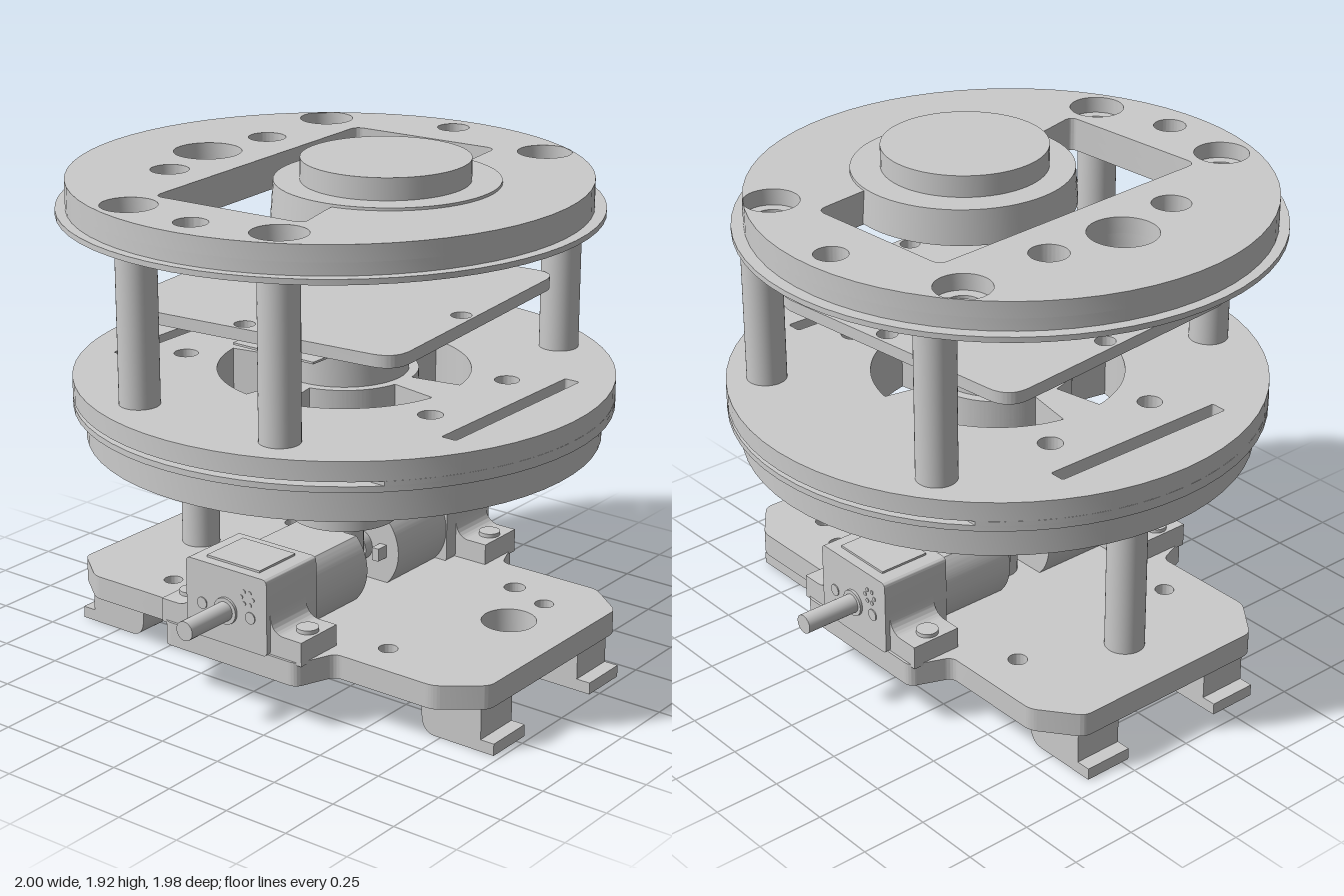
import * as THREE from 'three';
import { toCreasedNormals } from 'three/addons/utils/BufferGeometryUtils.js';

const grey = new THREE.MeshStandardMaterial({ color: 0xcccccc });
const thin = new THREE.MeshStandardMaterial({ color: 0xcccccc, side: THREE.DoubleSide });
const CX = 0.02, CZ = -0.01; // shared axis of the decks, column and motors

// Outline helpers
const circle = (x, y, r, C = THREE.Path) => new C().absarc(x, y, r, 0, Math.PI * 2);
function roundedPoly(pts, r, C = THREE.Path) {
  const p = new C(), v = pts.map(([x, y]) => new THREE.Vector2(x, y)), n = v.length;
  v.forEach((c, i) => {
    const a = v[(i + n - 1) % n], b = v[(i + 1) % n];
    const s = c.clone().add(a.clone().sub(c).setLength(r));
    const e = c.clone().add(b.clone().sub(c).setLength(r));
    i ? p.lineTo(s.x, s.y) : p.moveTo(s.x, s.y);
    p.quadraticCurveTo(c.x, c.y, e.x, e.y);
  });
  p.closePath();
  return p;
}
function arcSlot(x, y, r0, r1, a, half) {
  const p = new THREE.Path();
  p.absarc(x, y, r1, a - half, a + half, false);
  p.absarc(x, y, r0, a + half, a - half, true);
  p.closePath();
  return p;
}

function createModel() {
  const model = new THREE.Group();
  function add(name, geo, parent = model, mat = grey) {
    const m = new THREE.Mesh(geo, mat);
    m.name = name;
    parent.add(m);
    return m;
  }
  const extrude = (shape, depth) => toCreasedNormals(
    new THREE.ExtrudeGeometry(shape, { depth, bevelEnabled: false, curveSegments: 32 }), 0.5);
  // Horizontal slab: the outline is in x and z
  function slab(name, shape, y0, y1, holes = [], parent = model) {
    shape.holes = holes;
    return add(name, extrude(shape, y1 - y0).rotateX(Math.PI / 2).translate(0, y1, 0), parent);
  }
  function post(name, x, z, r, y0, y1, parent = model) {
    return add(name, new THREE.CylinderGeometry(r, r, y1 - y0, 40).translate(x, (y0 + y1) / 2, z), parent);
  }
  function rod(name, x, y, r, z0, z1, parent) {
    return add(name, new THREE.CylinderGeometry(r, r, z1 - z0, 32).rotateX(Math.PI / 2)
      .translate(x, y, (z0 + z1) / 2), parent);
  }
  const disc = (x, z, r) => circle(x, z, r, THREE.Shape);

  // Top deck with window, counterbored screw holes and cable holes
  const topDeck = new THREE.Group();
  topDeck.name = 'topDeck';
  model.add(topDeck);
  const bores = [[-0.55, -0.64], [0.41, -0.7], [-0.29, 0.78], [0.33, 0.74]];
  const topHoles = (boreR) => [
    ...bores.map(([x, z]) => circle(x, z, boreR)),
    ...[[-0.075, -0.81, 0.06], [-0.535, -0.26, 0.07], [-0.57, 0.04, 0.125], [-0.5, 0.33, 0.07], [0.02, 0.82, 0.06]]
      .map(([x, z, r]) => circle(x, z, r)),
    roundedPoly([[-0.37, -0.59], [0.24, -0.63], [0.27, -0.4], [0.27, 0.4], [0.32, 0.6], [-0.3, 0.64]], 0.04),
  ];
  slab('topDeckFlange', disc(-0.025, 0.01, 0.975), 1.705, 1.725, topHoles(0.06), topDeck);
  slab('topDeckLower', disc(-0.025, 0.015, 0.935), 1.725, 1.77, topHoles(0.06), topDeck);
  slab('topDeckUpper', disc(-0.025, 0.015, 0.935), 1.77, 1.83, topHoles(0.1), topDeck);

  // Scanner sitting in the window
  add('scannerBase', new THREE.CylinderGeometry(0.4, 0.41, 0.13, 64).translate(0.21, 1.775, -0.01));
  add('scannerHead', new THREE.CylinderGeometry(0.3, 0.3, 0.09, 64).translate(0.21, 1.875, 0));

  // Posts between the decks, and the single post above the base
  [[-0.465, -0.69], [0.5, -0.69], [-0.295, 0.745], [0.33, 0.745]].forEach(([x, z]) =>
    post('upperPost', x, z, 0.073, 1.1, 1.71));
  post('lowerPost', -0.67, 0, 0.073, 0.25, 0.89);

  // Floating board, slightly turned
  const h = 0.58;
  const board = slab('board', roundedPoly([[-h, -h], [h, -h], [h, h], [-h, h]], 0.1, THREE.Shape), 1.365, 1.41,
    [[0.05, -0.53], [0.53, 0.05], [-0.05, 0.53], [-0.53, -0.05]].map(([x, z]) => circle(x, z, 0.037)));
  board.position.set(0.015, 0, 0.015);
  board.rotation.y = 0.1;

  // Middle deck: layered disc with an edge gap at front and back
  const midDeck = new THREE.Group();
  midDeck.name = 'middleDeck';
  model.add(midDeck);
  const midHoles = () => {
    const list = [];
    for (let i = 0; i < 4; i++) {
      list.push(arcSlot(CX, CZ, 0.27, 0.46, Math.PI / 4 + i * Math.PI / 2, 0.6));
      const a = (i < 2 ? 0 : Math.PI) + (i % 2 ? 0.4 : -0.4);
      list.push(circle(CX + 0.6 * Math.cos(a), CZ + 0.6 * Math.sin(a), 0.045));
    }
    return list;
  };
  const sideSlots = () => [-1, 1].map((s) => roundedPoly(
    [[-0.03, -0.38], [0.03, -0.38], [0.03, 0.38], [-0.03, 0.38]].map(([x, z]) => [CX + s * 0.74 + x, z]), 0.01));
  const cut = Math.asin(0.69 / 0.98);
  const gapLayer = new THREE.Shape();
  gapLayer.absarc(CX, CZ, 0.98, -cut, cut, false);
  gapLayer.absarc(CX, CZ, 0.98, Math.PI - cut, Math.PI + cut, false);
  gapLayer.closePath();
  slab('middleDeckBody', disc(CX, CZ, 0.935), 0.88, 1.0, midHoles(), midDeck);
  slab('middleDeckFlange', disc(CX, CZ, 0.98), 1.0, 1.022, midHoles(), midDeck);
  slab('middleDeckGap', gapLayer, 1.022, 1.038, [...midHoles(), ...sideSlots()], midDeck);
  slab('middleDeckTop', disc(CX, CZ, 0.98), 1.038, 1.11, [...midHoles(), ...sideSlots()], midDeck);

  // Hub above the middle deck with its thin plate
  slab('hub', disc(CX, CZ, 0.235), 1.1, 1.27, [circle(CX, CZ, 0.19)]);
  add('hubPlate', new THREE.BoxGeometry(0.36, 0.008, 0.6).translate(CX, 1.266, 0.1));

  // Column: tube walls with round cross holes
  function tubeWall(r) {
    const pos = [], idx = [], n = 240, yc = 0.71;
    for (let i = 0; i <= n; i++) {
      const a = (i / n) * Math.PI * 2, x = r * Math.cos(a), z = r * Math.sin(a);
      const gap = Math.sqrt(Math.max(0, 0.042 ** 2 - (Math.abs(z) - 0.14) ** 2));
      for (const y of [0.545, yc - gap, yc + gap, 0.89]) pos.push(CX + x, y, CZ + z);
      if (i < n) for (const k of [0, 2]) {
        const b = i * 4 + k;
        idx.push(b, b + 1, b + 4, b + 1, b + 5, b + 4);
      }
    }
    const g = new THREE.BufferGeometry();
    g.setAttribute('position', new THREE.Float32BufferAttribute(pos, 3));
    g.setIndex(idx);
    g.computeVertexNormals();
    return g;
  }
  add('columnOuterWall', tubeWall(0.203), model, thin);
  add('columnInnerWall', tubeWall(0.165), model, thin);
  add('columnRim', new THREE.RingGeometry(0.165, 0.203, 64).rotateX(Math.PI / 2).translate(CX, 0.545, CZ), model, thin);
  // Fillets joining the column to the deck
  for (const s of [-1, 1]) {
    const f = new THREE.Shape();
    f.moveTo(0.19, 0.89);
    f.lineTo(0.245, 0.885);
    f.quadraticCurveTo(0.203, 0.87, 0.2, 0.81);
    f.lineTo(0.18, 0.81);
    const m = add('columnFillet', extrude(f, 0.14).translate(0, 0, -0.07));
    m.position.set(CX, 0, CZ);
    m.rotation.y = s * Math.PI / 2;
  }
  post('columnStem', CX, CZ, 0.073, 0.25, 0.88);

  // Base plate
  const outline = [[0.935, 0.4], [0.78, 0.52], [0.36, 0.52], [0.3, 0.67],
    [-0.3, 0.67], [-0.36, 0.52], [-0.78, 0.52], [-0.935, 0.4]];
  const ring = [...outline, ...outline.slice().reverse().map(([x, z]) => [x, -z])].map(([x, z]) => [x + CX, z + CZ]);
  slab('basePlate', roundedPoly(ring, 0.03, THREE.Shape), 0.17, 0.26,
    [[0.7, -0.1, 0.1], [0.55, -0.36, 0.04], [0.72, -0.3, 0.035], [0.5, 0.36, 0.035], [-0.5, 0.36, 0.035], [-0.5, -0.36, 0.035]]
      .map(([x, z, r]) => circle(x, z, r)));

  // Four hooked feet
  const foot = new THREE.Shape();
  foot.moveTo(0.615, 0.175);
  foot.quadraticCurveTo(0.645, 0.16, 0.65, 0.06);
  foot.quadraticCurveTo(0.655, 0.0, 0.71, 0);
  foot.lineTo(0.955, 0);
  foot.lineTo(0.955, 0.045);
  foot.lineTo(0.9, 0.045);
  foot.lineTo(0.9, 0.175);
  for (const s of [0, Math.PI]) for (const z of [0.21, -0.4]) {
    const m = add('foot', extrude(foot, 0.19).translate(0, 0, z));
    m.position.set(CX, 0, CZ);
    m.rotation.y = s;
  }

  // Two gear motors, back to back; built facing +z about the shared axis
  for (const turn of [0, Math.PI]) {
    const motor = new THREE.Group();
    motor.name = 'motor';
    motor.position.set(CX, 0, CZ);
    motor.rotation.y = turn;
    model.add(motor);
    // Gearbox housing
    const box = [[-0.183, 0.255], [0.183, 0.255], [0.183, 0.545], [-0.183, 0.545]];
    add('gearbox', extrude(roundedPoly(box, 0.02, THREE.Shape), 0.28).translate(0, 0, 0.4), motor);
    // Mounting ears with fillets and screw heads
    for (const s of [-1, 1]) {
      const ear = new THREE.Shape();
      ear.moveTo(s * 0.17, 0.25);
      ear.lineTo(s * 0.32, 0.25);
      ear.lineTo(s * 0.32, 0.34);
      ear.lineTo(s * 0.24, 0.34);
      ear.quadraticCurveTo(s * 0.185, 0.345, s * 0.183, 0.41);
      ear.lineTo(s * 0.17, 0.41);
      add('ear', extrude(ear, 0.2).translate(0, 0, 0.46), motor);
      post('earScrew', s * 0.27, 0.56, 0.04, 0.33, 0.355, motor);
      rod('facePin', s * 0.11, 0.385, 0.022, 0.67, 0.684, motor);
      // Cluster of vent studs
      for (let i = 0; i < 6; i++) {
        const a = i * Math.PI / 3;
        rod('ventStud', s * 0.095 + 0.026 * Math.cos(a), 0.385 + s * 0.07 + 0.026 * Math.sin(a), 0.008, 0.67, 0.683, motor);
      }
    }
    add('gearboxLid', new THREE.BoxGeometry(0.24, 0.012, 0.2).translate(0, 0.547, 0.54), motor);
    // Flat-sided motor can
    const can = new THREE.Shape(), f = Math.asin(0.125 / 0.18);
    can.absarc(0, 0.385, 0.18, -f, f, false);
    can.absarc(0, 0.385, 0.18, Math.PI - f, Math.PI + f, false);
    can.closePath();
    add('motorCan', extrude(can, 0.31).translate(0, 0, 0.095), motor);
    rod('rearBoss', 0, 0.385, 0.06, 0.055, 0.1, motor);
    for (const s of [-1, 1])
      add('terminal', new THREE.BoxGeometry(0.03, 0.05, 0.06).translate(s * 0.11, 0.385, 0.075), motor);
    // Output shaft
    rod('shaftCollar', 0, 0.385, 0.05, 0.67, 0.69, motor);
    rod('shaft', 0, 0.385, 0.036, 0.67, 0.905, motor);
  }
  return model;
}

export { createModel };
